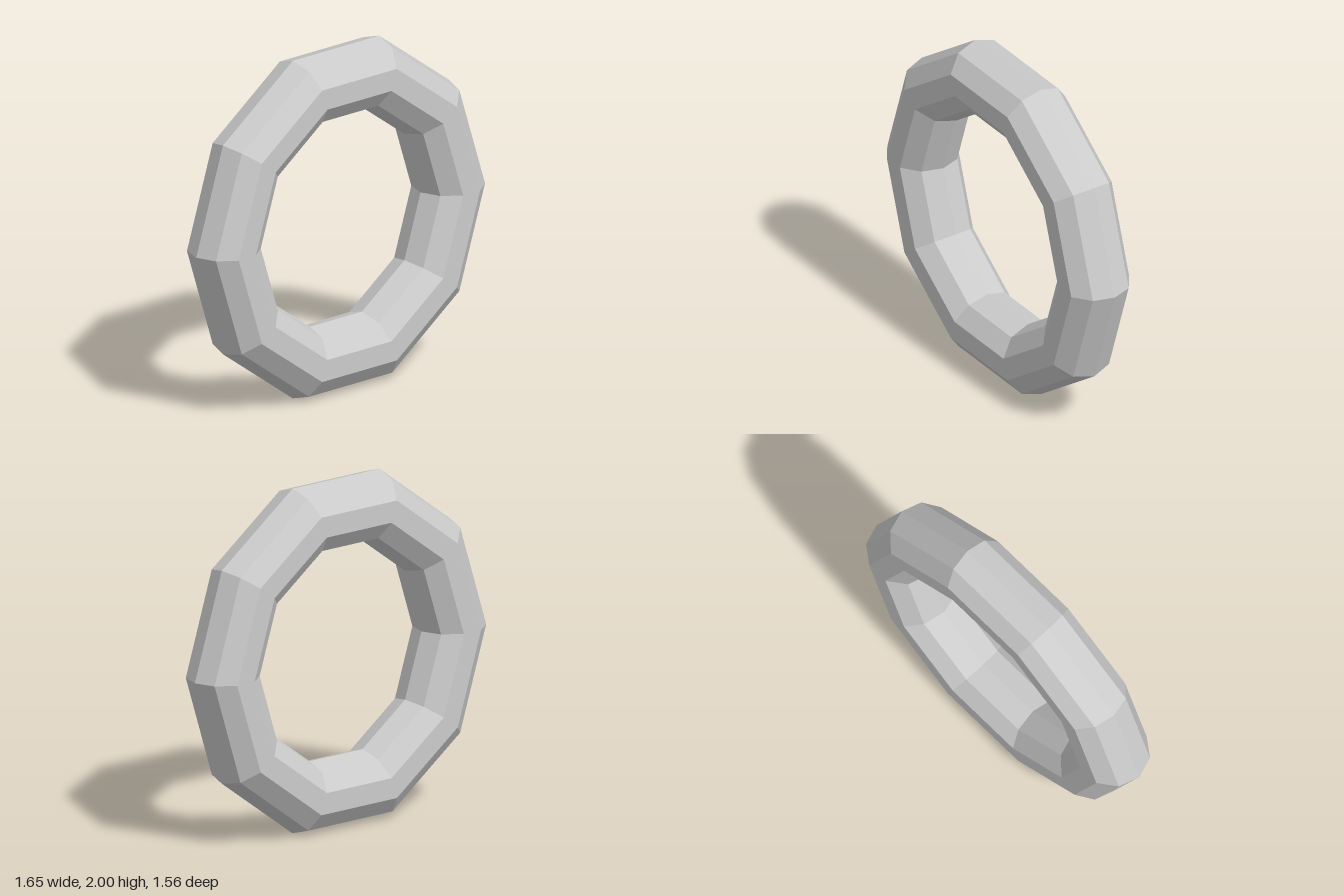
import * as THREE from 'three';

export function createModel() {
  const model = new THREE.Group();

  // Faceted ring: ten straight segments with a ten-sided cross-section
  const ring = new THREE.Mesh(
    new THREE.TorusGeometry(0.8437, 0.2077, 10, 10),
    new THREE.MeshStandardMaterial({ color: 0xcccccc, flatShading: true })
  );
  ring.name = 'ring';

  // Stands upright on a flat segment, turned about the vertical
  ring.position.y = 1;
  ring.rotation.y = THREE.MathUtils.degToRad(43);
  model.add(ring);

  return model;
}
